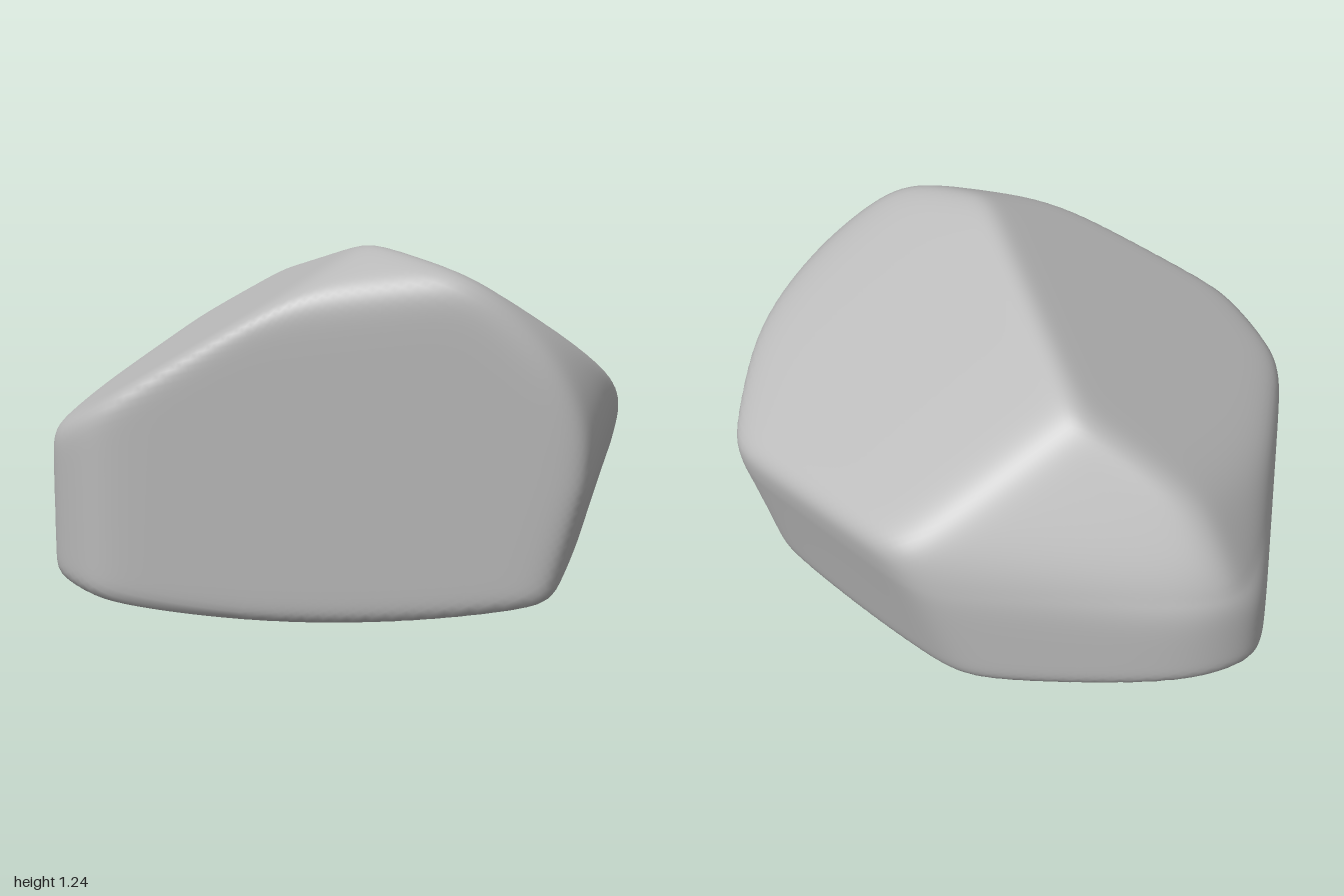
import * as THREE from 'three';
import { mergeVertices } from 'three/addons/utils/BufferGeometryUtils.js';

// Broad cleavage faces of the boulder: outward normal x, y, z and distance from the origin
const FACES = [
  [0.32, 0, 0.95, 0.643],        // front
  [0.05, 0.87, 0.48, 1.28],      // blunt cap behind the front's top corner
  [-0.495, 0.858, 0.14, 1.006],  // upper left slope
  [0.268, 0.835, -0.481, 0.969], // upper right slope
  [-0.29, 0.518, -0.805, 0.987], // back left slope
  [0.42, -0.2, -0.885, 0.682],   // back right wall
  [-0.28, 0, -0.96, 0.828],      // back left wall
  [-0.75, 0, -0.66, 1.06],       // back left corner
  [0.96, -0.22, -0.16, 0.8],     // right wall
  [0.93, 0.3, 0.05, 1.15],       // right wall, upper part
  [0.72, 0.68, 0.12, 1.32],      // right shoulder
  [-0.97, 0, 0.235, 0.895],      // left wall
  [-0.83, 0.56, 0, 1.09],        // left shoulder
  [-0.5, 0, 0.87, 0.985],        // front left corner
  [0, -1, 0, 0],                 // underside
];
const CENTRE = new THREE.Vector3(0, 0.55, 0);
const SHARPNESS = 24;

// Distance from the centre to the rounded intersection of all faces
function radius(dir, planes) {
  let sum = 0;
  for (const { n, h } of planes) {
    const d = n.dot(dir);
    if (d > 0) sum += Math.pow(d / h, SHARPNESS);
  }
  return Math.pow(sum, -1 / SHARPNESS);
}

function boulderGeometry() {
  // Measure each face from the centre of the stone
  const planes = FACES.map(([x, y, z, d]) => {
    const n = new THREE.Vector3(x, y, z);
    return { n, h: d - n.dot(CENTRE) };
  });

  let geo = new THREE.IcosahedronGeometry(1, 44);
  geo.deleteAttribute('uv');
  geo.deleteAttribute('normal');
  geo = mergeVertices(geo, 1e-5);

  const pos = geo.attributes.position;
  const v = new THREE.Vector3();
  for (let i = 0; i < pos.count; i++) {
    v.fromBufferAttribute(pos, i).normalize();
    v.multiplyScalar(radius(v, planes)).add(CENTRE);
    // Belly the underside so its rim lifts off the ground
    const lift = 0.13 * (v.x * v.x + (v.z - 0.15) ** 2);
    v.y += lift * THREE.MathUtils.clamp(1 - v.y / 0.5, 0, 1);
    pos.setXYZ(i, v.x, v.y, v.z);
  }

  // Centre it and stand it on the ground
  geo.computeBoundingBox();
  const mid = geo.boundingBox.getCenter(new THREE.Vector3());
  geo.translate(-mid.x, -geo.boundingBox.min.y, -mid.z);
  geo.computeVertexNormals();
  return geo;
}

export function createModel() {
  const stone = new THREE.MeshStandardMaterial({ color: 0xb8b8b8 });
  stone.name = 'stone grey';
  const boulder = new THREE.Mesh(boulderGeometry(), stone);
  boulder.name = 'boulder';
  const group = new THREE.Group();
  group.name = 'rock';
  group.add(boulder);
  return group;
}
